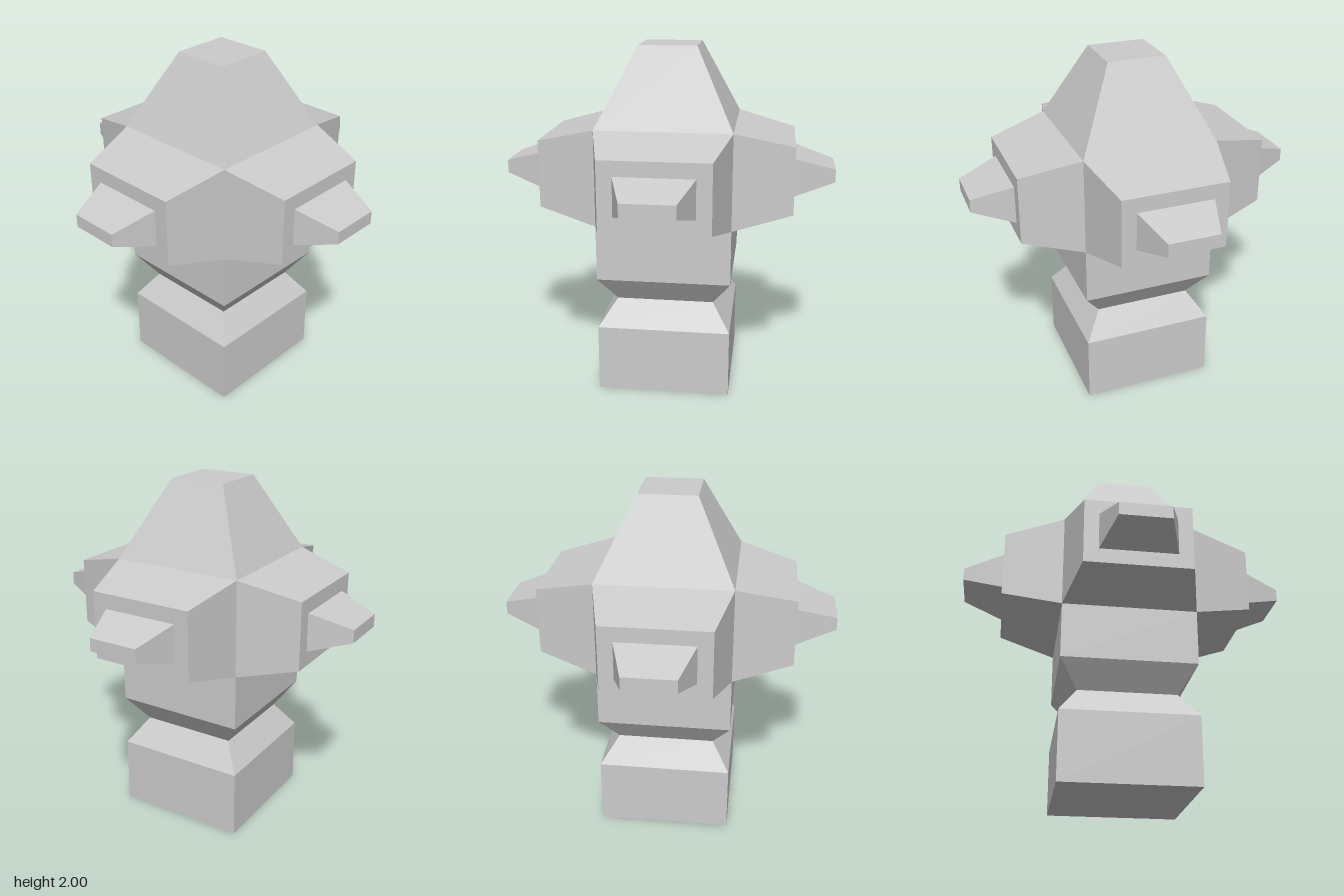
import * as THREE from 'three';

const material = new THREE.MeshStandardMaterial({ color: 0xcccccc, flatShading: true });

// Rectangular loft along +y; each section is [y, halfX, halfZ]
function loft(sections, { capStart = false, capEnd = false } = {}) {
  const positions = [];
  const rings = sections.map(([y, hx, hz]) =>
    [[-hx, y, hz], [hx, y, hz], [hx, y, -hz], [-hx, y, -hz]]);
  const quad = (a, b, c, d) => positions.push(...a, ...b, ...c, ...a, ...c, ...d);

  for (let i = 0; i < rings.length - 1; i++) {
    for (let k = 0; k < 4; k++) {
      const n = (k + 1) % 4;
      quad(rings[i][k], rings[i][n], rings[i + 1][n], rings[i + 1][k]);
    }
  }
  if (capStart) quad(...[...rings[0]].reverse());
  if (capEnd) quad(...rings[rings.length - 1]);

  const geometry = new THREE.BufferGeometry();
  geometry.setAttribute('position', new THREE.Float32BufferAttribute(positions, 3));
  geometry.computeVertexNormals();
  return geometry;
}

function addPart(group, name, geometry) {
  const mesh = new THREE.Mesh(geometry, material);
  mesh.name = name;
  group.add(mesh);
  return mesh;
}

export function createModel() {
  const model = new THREE.Group();
  model.name = 'spikedPillar';
  const half = 0.383; // half width of the square pillar
  const headBottom = 1.01, headTop = 1.56;
  const headMiddle = (headBottom + headTop) / 2;

  // Square pillar with a pinched waist
  addPart(model, 'pillar', loft([
    [0, half, half],
    [0.39, half, half],
    [0.54, 0.28, 0.28],
    [0.69, half, half],
    [headBottom, half, half],
  ], { capStart: true }));

  // Truncated pyramid on top
  addPart(model, 'crown', loft([
    [headTop, half, half],
    [2, 0.165, 0.165],
  ], { capEnd: true }));

  // Four tapered arms, each stepping in to a smaller tapered tip
  const arm = loft([
    [half, half, (headTop - headBottom) / 2],
    [0.72, 0.3, 0.193],
    [0.72, 0.217, 0.108],
    [0.95, 0.143, 0.037],
  ], { capEnd: true });
  arm.rotateX(Math.PI / 2); // point along +z
  ['frontArm', 'leftArm', 'backArm', 'rightArm'].forEach((name, i) => {
    const mesh = addPart(model, name, arm);
    mesh.position.y = headMiddle;
    mesh.rotation.y = i * Math.PI / 2;
  });

  return model;
}
